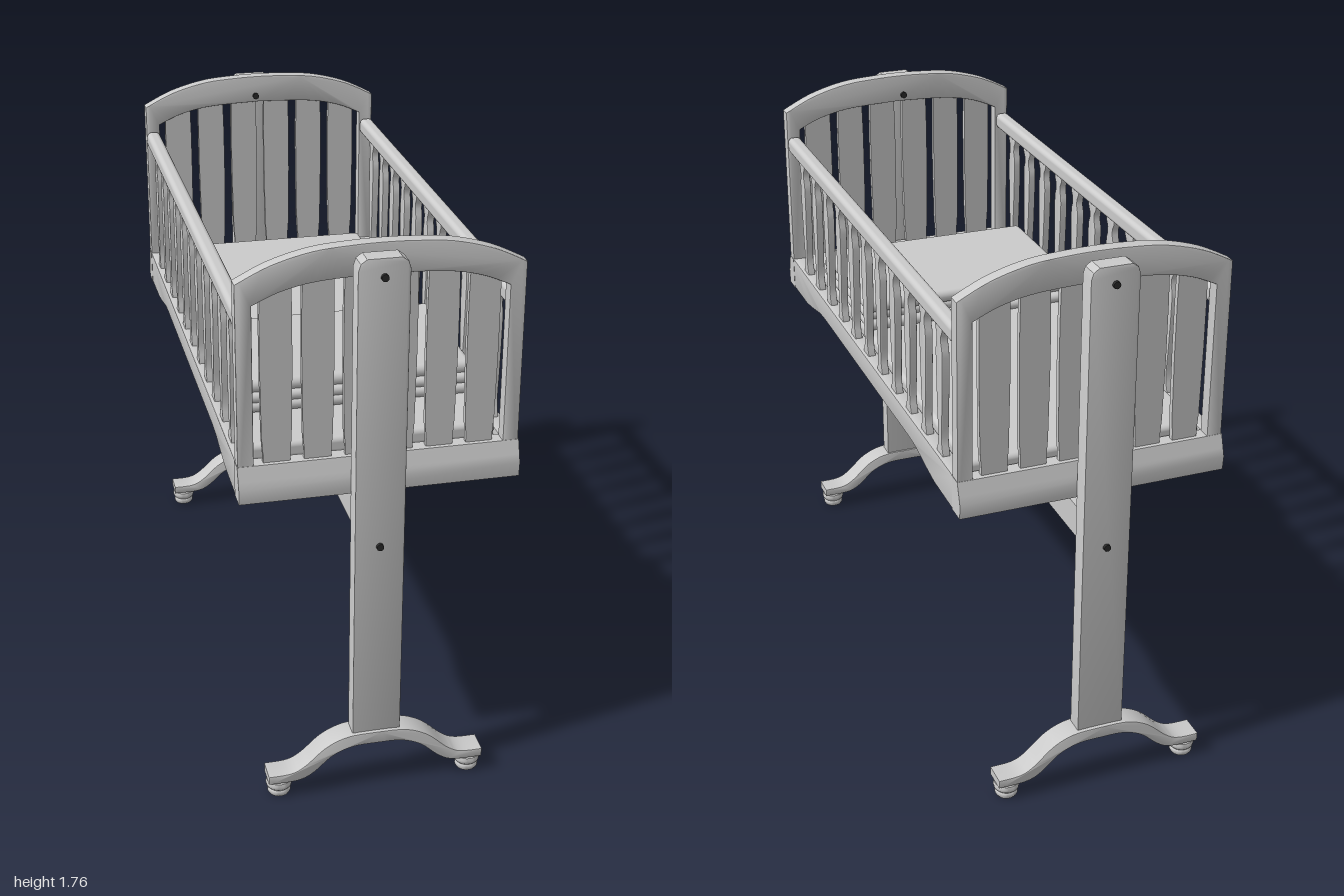
import * as THREE from 'three';
import { toCreasedNormals } from 'three/addons/utils/BufferGeometryUtils.js';
import { RoundedBoxGeometry } from 'three/addons/geometries/RoundedBoxGeometry.js';

const wood = new THREE.MeshStandardMaterial({ color: 0xcccccc });
const dark = new THREE.MeshStandardMaterial({ color: 0x2a2a2a });
const v2 = (pts) => pts.map(([x, y]) => new THREE.Vector2(x, y));

function add(parent, name, geo, x = 0, y = 0, z = 0, mat = wood) {
  const m = new THREE.Mesh(geo, mat);
  m.name = name;
  m.position.set(x, y, z);
  parent.add(m);
  return m;
}

// Extrusion centred on its own depth
function slab(shape, depth, bevel = 0) {
  const g = new THREE.ExtrudeGeometry(shape, {
    depth: depth - 2 * bevel, curveSegments: 20, bevelEnabled: bevel > 0,
    bevelSize: bevel, bevelThickness: bevel, bevelOffset: -bevel, bevelSegments: 2,
  });
  g.translate(0, 0, -depth / 2 + bevel);
  return toCreasedNormals(g, 0.6);
}

// Closed outline from half-width / height pairs, mirrored about x = 0
function mirrored(pts) {
  const left = pts.map(([x, y]) => [-x, y]).reverse();
  return new THREE.Shape(v2([...pts, ...left]));
}

// Smooth run of points through a few knots
const smooth = (pts, n) => new THREE.SplineCurve(v2(pts)).getPoints(n).map((p) => [p.x, p.y]);

// Headboard or footboard, outside facing +z
function endBoard() {
  const g = new THREE.Group();
  const arch = smooth([[0.42, 1.67], [0.32, 1.718], [0.2, 1.75], [0.08, 1.76], [0.001, 1.762]], 20);
  const frame = mirrored([[0.42, 1.02], ...arch]);
  const inner = smooth([[0.372, 1.603], [0.29, 1.638], [0.18, 1.66], [0.001, 1.668]], 16);
  frame.holes.push(mirrored([[0.372, 1.1], ...inner]));
  add(g, 'archedFrame', slab(frame, 0.044, 0.004), 0, 0, 0.885);

  // bottom rail, thicker at the foot
  const rail = new THREE.Shape(v2([[0.862, 1], [0.926, 1], [0.93, 1.045], [0.922, 1.07], [0.908, 1.112], [0.862, 1.112]]));
  const railGeo = slab(rail, 0.842);
  railGeo.rotateY(-Math.PI / 2);
  add(g, 'bottomRail', railGeo);

  // flat slats, slightly waisted near the ends
  const slat = mirrored([[0.04, 1.1], [0.04, 1.135], [0.044, 1.19], [0.047, 1.4], [0.047, 1.56], [0.045, 1.67]]);
  const slatGeo = slab(slat, 0.018);
  for (let i = 0; i < 6; i++) add(g, 'endSlat', slatGeo, (i - 2.5) * 0.121, 0, 0.885);
  return g;
}

// Upright post with arched foot and bun feet, outside facing +z
function stand() {
  const g = new THREE.Group();
  const post = mirrored([[0.075, 0.18], [0.075, 1.71], [0.068, 1.732], [0.05, 1.745]]);
  add(g, 'post', slab(post, 0.059, 0.003), 0, 0, 0.957);

  const top = smooth([[0.34, 0.082], [0.27, 0.085], [0.225, 0.108], [0.16, 0.165], [0.09, 0.194], [0.001, 0.198]], 24);
  const under = smooth([[0.001, 0.158], [0.075, 0.155], [0.14, 0.13], [0.2, 0.078], [0.25, 0.056], [0.34, 0.054]], 24);
  const half = [...under.reverse().map(([x, y]) => [x, y])];
  const outline = [...half.reverse(), ...top];
  add(g, 'archedFoot', slab(mirrored(outline), 0.078, 0.003), 0, 0, 0.96);

  const bun = new THREE.LatheGeometry(v2([[0, 0], [0.031, 0], [0.036, 0.008], [0.036, 0.018],
    [0.033, 0.022], [0.039, 0.029], [0.041, 0.038], [0.038, 0.048], [0.03, 0.052], [0.03, 0.058], [0, 0.058]]), 28);
  const bunGeo = toCreasedNormals(bun, 0.7);
  for (const s of [-1, 1]) add(g, 'bunFoot', bunGeo, s * 0.302, 0, 0.96);

  // pivot pin through the board, and the stretcher bolt
  const pin = new THREE.CylinderGeometry(0.011, 0.011, 0.142, 16).rotateX(Math.PI / 2);
  add(g, 'pivotPin', pin, 0, 1.69, 0.925, dark);
  const bolt = new THREE.CylinderGeometry(0.011, 0.011, 0.03, 16).rotateX(Math.PI / 2);
  add(g, 'stretcherBolt', bolt, 0, 0.848, 0.981, dark);
  return g;
}

// Long side with rails and shaped spindles, built at x = 0
function sidePanel() {
  const g = new THREE.Group();
  add(g, 'topRail', new RoundedBoxGeometry(0.046, 0.055, 1.73, 4, 0.016), 0, 1.553, 0);

  const curve = smooth([[0.7, 1.003], [0.62, 1.016], [0.53, 1.034], [0.46, 1.039]], 12);
  const lower = mirrored([...curve.reverse(), [0.88, 1], [0.88, 1.112]]);
  const lowerGeo = slab(lower, 0.046, 0.003);
  lowerGeo.rotateY(Math.PI / 2);
  add(g, 'lowerRail', lowerGeo);

  const spindle = mirrored([[0.026, 1.105], [0.026, 1.118], [0.017, 1.14], [0.014, 1.17], [0.016, 1.2],
    [0.021, 1.26], [0.026, 1.36], [0.028, 1.43], [0.026, 1.455], [0.018, 1.475], [0.019, 1.495],
    [0.031, 1.515], [0.031, 1.535]]);
  const spindleGeo = slab(spindle, 0.024, 0.003);
  spindleGeo.rotateY(Math.PI / 2);
  for (let i = -5; i <= 5; i++) add(g, 'spindle', spindleGeo, 0, 0, i * 0.145);
  return g;
}

// Folded cloth layer with softly uneven faces
function clothLayer(w, h, d, seed) {
  const geo = new RoundedBoxGeometry(w, h, d, 6, h * 0.48);
  const p = geo.attributes.position;
  for (let i = 0; i < p.count; i++) {
    const x = p.getX(i), z = p.getZ(i);
    p.setY(i, p.getY(i) + 0.004 * Math.sin(x * 7 + seed) * Math.cos(z * 6 + seed));
    p.setZ(i, z + 0.006 * Math.sin(x * 9 + seed * 2));
  }
  return geo;
}

export function createModel() {
  const model = new THREE.Group();
  model.name = 'cradle';

  for (const [i, name] of ['front', 'back'].entries()) {
    const board = endBoard();
    board.name = name + 'EndBoard';
    const st = stand();
    st.name = name + 'Stand';
    st.position.x = -0.017;
    board.rotation.y = st.rotation.y = i * Math.PI;
    model.add(board, st);
  }
  for (const [s, name] of [[1, 'left'], [-1, 'right']]) {
    const side = sidePanel();
    side.name = name + 'Side';
    side.position.x = s * 0.397;
    model.add(side);
  }

  // stretcher between the posts
  add(model, 'stretcher', new THREE.BoxGeometry(0.05, 0.105, 1.856), -0.017, 0.847, 0);

  // floor, mattress and folded blanket
  add(model, 'floorPanel', new THREE.BoxGeometry(0.75, 0.04, 1.73), 0, 1.068, 0);
  add(model, 'mattress', new RoundedBoxGeometry(0.742, 0.052, 1.69, 4, 0.016), 0, 1.113, -0.01);
  const blanket = new THREE.Group();
  blanket.name = 'foldedBlanket';
  model.add(blanket);
  const layers = [[1.153, 0.034, 0.525, 0.372], [1.183, 0.032, 0.5, 0.372], [1.216, 0.042, 0.5, 0.36]];
  layers.forEach(([y, h, d, z], i) => add(blanket, 'blanketLayer', clothLayer(0.738, h, d, i + 1), 0, y, z));
  return model;
}
